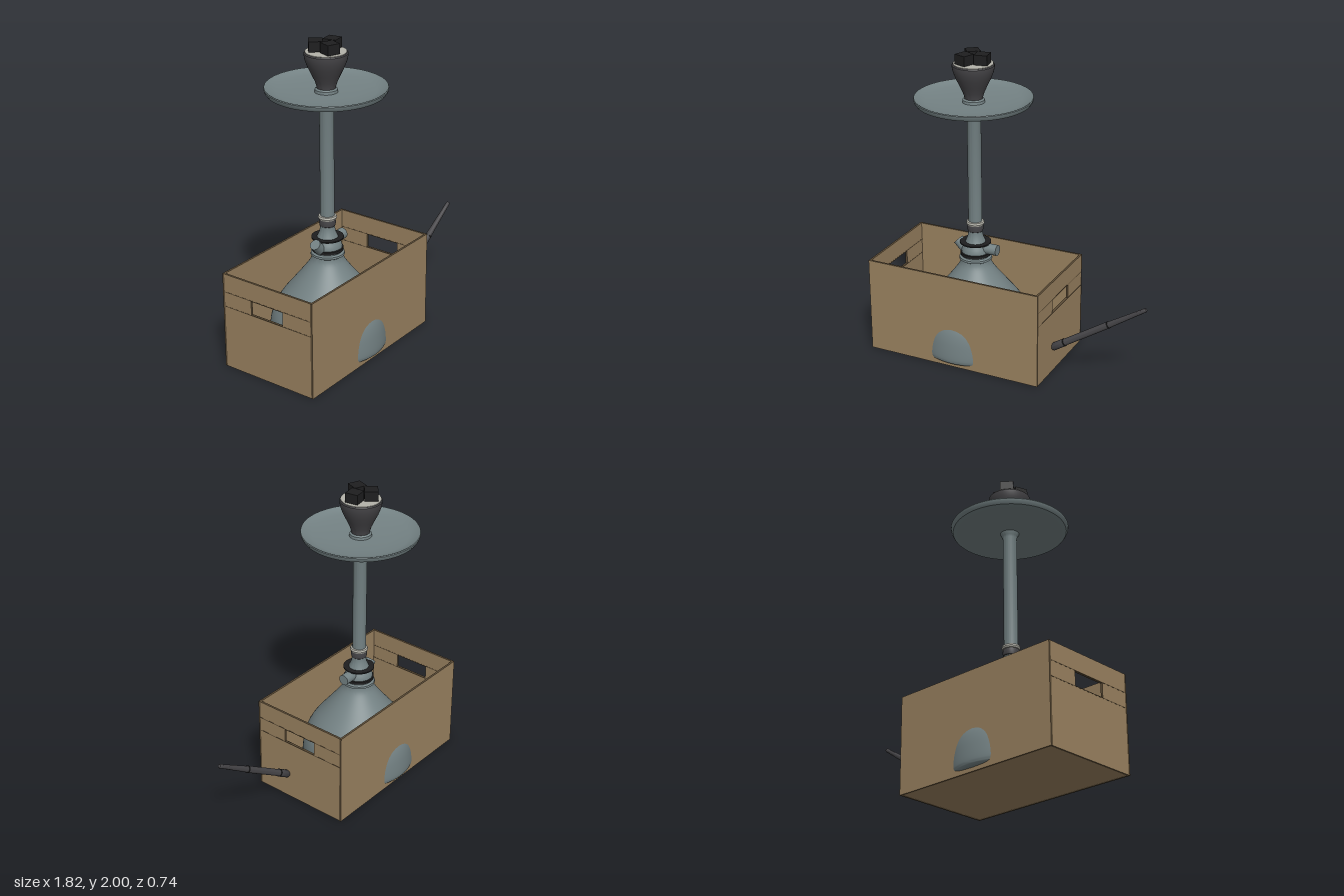
import * as THREE from 'three';
import { toCreasedNormals } from 'three/addons/utils/BufferGeometryUtils.js';

const material = (name, color) => {
  const m = new THREE.MeshStandardMaterial({ color });
  m.name = name;
  return m;
};

export function createModel() {
  const cardboard = material('cardboard', 0x9a8260);
  const cutEdge = material('cardboard edge', 0x5c4c36);
  const metal = material('blue grey metal', 0x748284);
  const clay = material('dark clay', 0x454447);
  const foil = material('foil', 0xb4b3aa);
  const black = material('black', 0x1e1e1f);

  const model = new THREE.Group();
  model.name = 'waterPipeInBox';

  const add = (parent, name, geo, mat, x = 0, y = 0, z = 0) => {
    const mesh = new THREE.Mesh(geo, mat);
    mesh.name = name;
    mesh.position.set(x, y, z);
    parent.add(mesh);
    return mesh;
  };
  const box = (w, h, d) => new THREE.BoxGeometry(w, h, d);
  const lathe = (pts, seg = 48) => toCreasedNormals(
    new THREE.LatheGeometry(pts.map(([r, y]) => new THREE.Vector2(r, y)), seg), 0.6);

  // Cardboard box, dark along its cut edges
  const W = 1.195, H = 0.63, D = 0.68, T = 0.014, CX = -0.312;
  const crate = new THREE.Group();
  crate.name = 'cardboardBox';
  crate.position.x = CX;
  model.add(crate);

  const wall = (width, hasHole) => {
    const s = new THREE.Shape();
    s.moveTo(-width / 2, 0);
    s.lineTo(width / 2, 0);
    s.lineTo(width / 2, H);
    s.lineTo(-width / 2, H);
    s.closePath();
    if (hasHole) {
      const h = new THREE.Path();
      h.moveTo(-0.12, 0.415);
      h.lineTo(-0.12, 0.508);
      h.lineTo(0.12, 0.508);
      h.lineTo(0.12, 0.415);
      h.closePath();
      s.holes.push(h);
    }
    return new THREE.ExtrudeGeometry(s, { depth: T, bevelEnabled: false }).translate(0, 0, -T / 2);
  };

  add(crate, 'floor', box(W - 0.004, T, D - 0.004), cardboard, 0, T / 2 + 0.001, 0);
  for (const s of [1, -1]) {
    add(crate, s > 0 ? 'frontWall' : 'backWall', wall(W), [cardboard, cutEdge], 0, 0, s * (D - T) / 2);
    const end = add(crate, s > 0 ? 'leftEndWall' : 'rightEndWall',
      wall(D - 2 * T, true), [cardboard, cutEdge], s * (W - T) / 2, 0, 0);
    end.rotation.y = Math.PI / 2;
    // Fold lines above and below the hand hole
    for (const y of [0.413, 0.51])
      for (const side of [1, -1])
        add(crate, 'endFoldLine', box(0.002, 0.005, D - 2 * T), cutEdge,
          s * (W - T) / 2 + side * T / 2, y, 0);
    // Seams between floor flaps
    add(crate, 'floorSeam', box(0.008, 0.002, D - 2 * T), cutEdge, s * 0.297, T + 0.002, 0);
  }
  add(crate, 'floorCentreSeam', box(W - 2 * T, 0.002, 0.008), cutEdge, 0, T + 0.002, 0);

  const pipe = new THREE.Group();
  pipe.name = 'waterPipe';
  pipe.position.x = CX;
  model.add(pipe);

  // Wide base vessel, bulging through the long walls
  const profile = new THREE.SplineCurve([
    [0.34, 0.024], [0.363, 0.033], [0.371, 0.06], [0.368, 0.13], [0.359, 0.2], [0.34, 0.262],
    [0.295, 0.345], [0.22, 0.44], [0.145, 0.535], [0.105, 0.595], [0.095, 0.635],
  ].map(([r, y]) => new THREE.Vector2(r, y)));
  add(pipe, 'baseVessel', lathe([[0, 0.022], [0.34, 0.024],
    ...profile.getPoints(40).slice(1).map((p) => [p.x, p.y])], 64), metal);

  // Metal hub and long stem
  add(pipe, 'hub', lathe([[0.095, 0.625], [0.106, 0.632], [0.104, 0.645], [0.09, 0.652], [0.09, 0.69],
    [0.082, 0.712], [0.07, 0.735], [0.062, 0.755], [0.051, 0.78], [0.045, 0.81], [0.045, 0.83]]), metal);
  add(pipe, 'sealRing', lathe([[0.085, 0.655], [0.097, 0.66], [0.097, 0.677], [0.085, 0.682]]), black);
  add(pipe, 'hubDisc', new THREE.CylinderGeometry(0.1, 0.1, 0.008, 48), black, 0, 0.744, 0);
  add(pipe, 'stemCollar', lathe([[0.04, 0.816], [0.049, 0.824], [0.052, 0.845], [0.049, 0.866], [0.04, 0.87]]), clay);
  add(pipe, 'stemRing', lathe([[0.04, 0.862], [0.054, 0.866], [0.058, 0.877], [0.054, 0.889], [0.04, 0.892]]), foil);
  add(pipe, 'stem', lathe([[0.044, 0.86], [0.044, 1.635], [0.048, 1.65], [0.062, 1.678], [0.062, 1.7]]), metal);

  // Hose port and slanted purge valve
  const port = add(pipe, 'hosePort', new THREE.CylinderGeometry(0.035, 0.035, 0.13, 28), metal, 0.092, 0.709, 0);
  port.rotation.z = Math.PI / 2;
  const valve = add(pipe, 'purgeValve', new THREE.CylinderGeometry(0.034, 0.034, 0.1, 28), metal, -0.091, 0.699, 0);
  valve.rotation.z = Math.PI / 4;

  // Shallow ash tray
  add(pipe, 'tray', lathe([[0, 1.672], [0.25, 1.672], [0.33, 1.676], [0.357, 1.684], [0.368, 1.7], [0.371, 1.714],
    [0.368, 1.72], [0.362, 1.718], [0.345, 1.706], [0.3, 1.696], [0.2, 1.687], [0, 1.683]], 64), metal);

  // Bowl with foil cover and three coals
  add(pipe, 'bowlGrommet', lathe([[0.055, 1.68], [0.07, 1.685], [0.068, 1.702], [0.055, 1.712]]), metal);
  add(pipe, 'bowl', lathe([[0.055, 1.68], [0.058, 1.72], [0.068, 1.752], [0.088, 1.795], [0.11, 1.84],
    [0.125, 1.88], [0.131, 1.91], [0.131, 1.924], [0.126, 1.931], [0.118, 1.931], [0.115, 1.92]]), clay);
  add(pipe, 'foilCover', new THREE.CylinderGeometry(0.124, 0.124, 0.008, 48), foil, 0, 1.93, 0);
  for (let i = 0; i < 3; i++) {
    const a = i * Math.PI * 2 / 3;
    const coal = add(pipe, 'coal', box(0.084, 0.063, 0.084), black,
      Math.cos(a) * 0.062, 1.9685, Math.sin(a) * 0.062);
    coal.rotation.y = 0.17 - a;
  }

  // Hose handle leaning out of the end wall
  const start = new THREE.Vector3(0.284, 0.168, 0.105);
  const along = new THREE.Vector3(0.903, 0.57, 0.105).sub(start);
  const L = along.length();
  const handle = new THREE.Group();
  handle.name = 'hoseHandle';
  handle.position.copy(start);
  handle.quaternion.setFromUnitVectors(new THREE.Vector3(0, 1, 0), along.normalize());
  model.add(handle);
  add(handle, 'handleTube', lathe([[0, 0], [0.021, 0], [0.025, 0.008], [0.025, 0.09], [0.022, 0.1],
    [0.022, 0.44], [0.02, 0.455], [0.018, 0.52], [0.014, L - 0.05], [0.013, L - 0.005],
    [0.01, L], [0, L]], 28), clay);
  for (const [y, r] of [[0.097, 0.0255], [0.447, 0.023]])
    add(handle, 'handleRing', new THREE.CylinderGeometry(r, r, 0.008, 28), black, 0, y, 0);

  return model;
}
